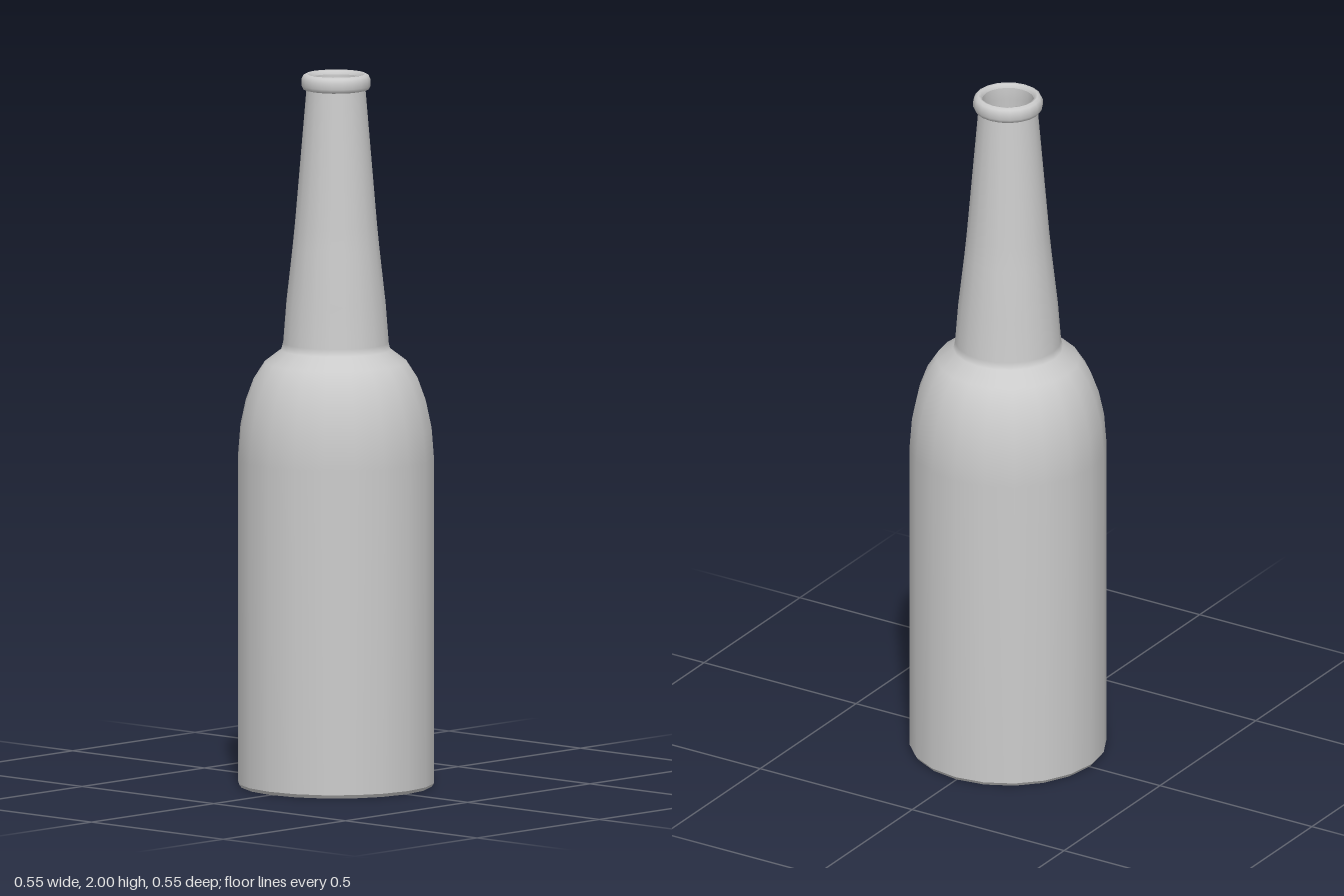
import * as THREE from 'three';

const SIDES = 20;

export function createModel() {
  const group = new THREE.Group();
  const material = new THREE.MeshStandardMaterial({ color: 0xcccccc });

  // Revolve a [radius, height] profile around the upright axis
  const lathe = (name, profile) => {
    const points = profile.map(([r, y]) => new THREE.Vector2(r, y));
    const mesh = new THREE.Mesh(new THREE.LatheGeometry(points, SIDES), material);
    mesh.name = name;
    group.add(mesh);
  };

  // Flat underside with a narrow chamfer
  lathe('base', [[0, 0], [0.268, 0]]);
  lathe('baseEdge', [[0.268, 0], [0.275, 0.01]]);

  // Straight body, rounded shoulder and tapering neck
  const shoulder = [[0.275, 0.92], [0.268, 1.01], [0.253, 1.08], [0.231, 1.14], [0.199, 1.19], [0.153, 1.225]];
  const neck = [[0.148, 1.245], [0.139, 1.36], [0.122, 1.51], [0.115, 1.58], [0.083, 1.955]];
  lathe('body', [[0.275, 0.01], ...shoulder, ...neck]);

  // Rounded lip around the mouth
  lathe('lip', [
    [0.083, 1.955], [0.092, 1.957], [0.097, 1.967], [0.097, 1.984],
    [0.092, 1.995], [0.083, 2], [0.076, 1.998], [0.072, 1.988],
  ]);

  // Inner wall, from the mouth down to the floor, facing inward
  const inset = [...shoulder, ...neck].map(([r, y]) => [r - 0.012, y]).reverse();
  lathe('innerWall', [[0.072, 1.988], ...inset, [0.263, 0.02]]);
  lathe('innerFloor', [[0.263, 0.02], [0, 0.02]]);

  return group;
}
